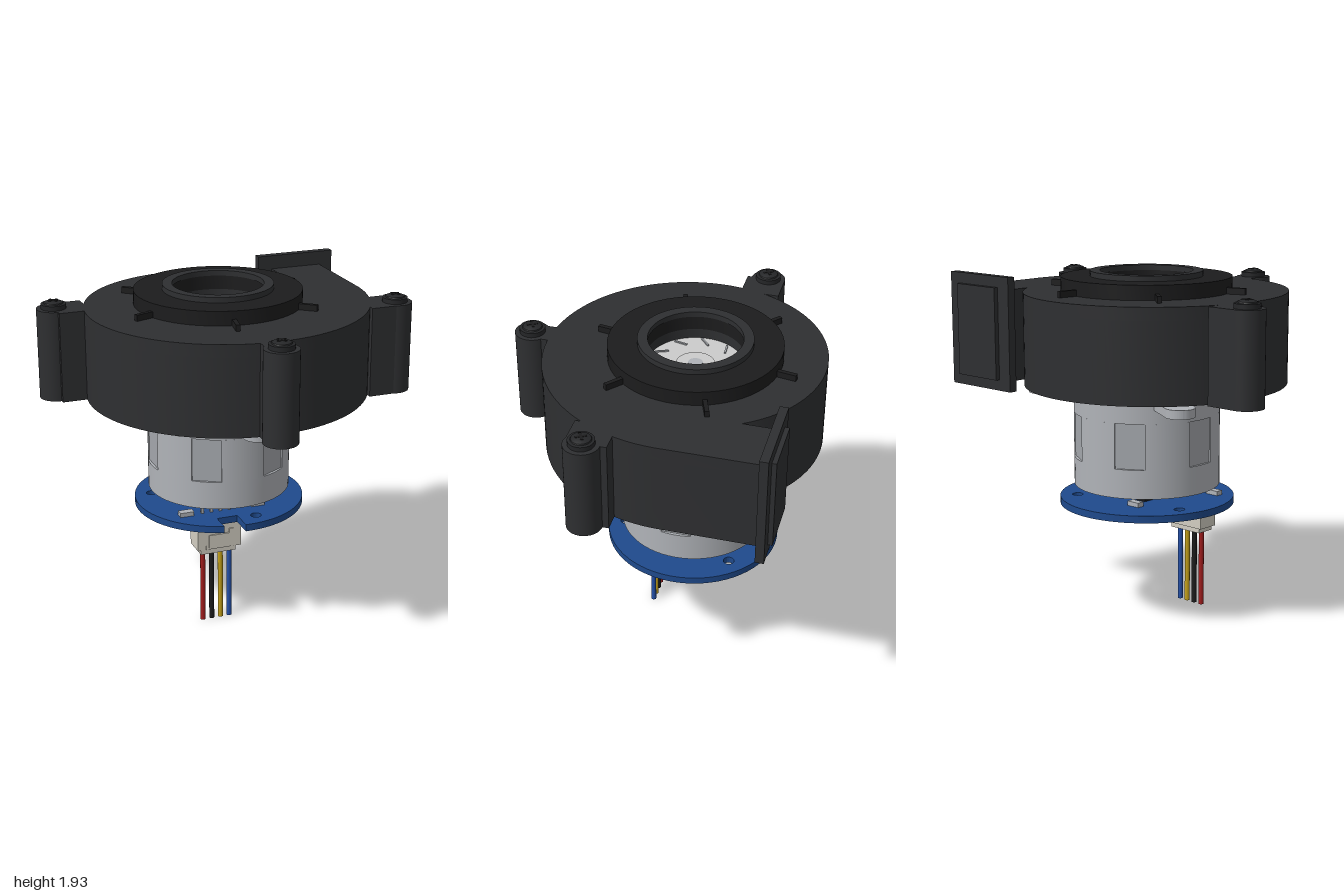
import * as THREE from 'three';
import { toCreasedNormals } from 'three/addons/utils/BufferGeometryUtils.js';

const CX = -0.02, CZ = -0.16; // shared axis of fan, motor and board
const paint = (color) => new THREE.MeshStandardMaterial({ color });
const housing = paint(0x2e2f31), inletBlack = paint(0x1c1c1d), screwDark = paint(0x252628);
const steel = paint(0xb0b3b8), windowSteel = paint(0xa4a7ac), spacerGrey = paint(0x55585c);
const boardBlue = paint(0x1f4a8c), beige = paint(0xd2cec2), chipBlack = paint(0x18181a);
const impellerGrey = paint(0xcccccc);

export function createModel() {
  const model = new THREE.Group();

  const add = (name, geo, mat, x = 0, y = 0, z = 0, ry = 0, parent = model) => {
    const mesh = new THREE.Mesh(geo, mat);
    mesh.name = name;
    mesh.position.set(x, y, z);
    mesh.rotation.y = ry;
    parent.add(mesh);
    return mesh;
  };
  // Box and cylinder between two heights
  const box = (name, mat, x0, x1, y0, y1, z0, z1) =>
    add(name, new THREE.BoxGeometry(x1 - x0, y1 - y0, z1 - z0), mat, (x0 + x1) / 2, (y0 + y1) / 2, (z0 + z1) / 2);
  const cyl = (name, mat, r, y0, y1, x = CX, z = CZ, sides = 64) =>
    add(name, new THREE.CylinderGeometry(r, r, y1 - y0, sides), mat, x, (y0 + y1) / 2, z);
  // Plan outline (x, -z) raised from y0 to y1
  const slab = (name, mat, shape, y0, y1, x = 0, z = 0, ry = 0) => {
    const geo = new THREE.ExtrudeGeometry(shape, { depth: y1 - y0, bevelEnabled: false, curveSegments: 32 });
    geo.rotateX(-Math.PI / 2);
    return add(name, toCreasedNormals(geo, 0.5), mat, x, y0, z, ry);
  };
  const circleHole = (x, y, r) => new THREE.Path().absarc(x, y, r, 0, Math.PI * 2, true);
  const ring = (r, hole) => {
    const s = new THREE.Shape().absarc(0, 0, r, 0, Math.PI * 2, false);
    s.holes.push(circleHole(0, 0, hole));
    return s;
  };

  // Spiral housing running into a straight outlet duct
  const voluteOutline = () => {
    const pts = [];
    for (let i = 0; i <= 96; i++) {
      const deg = 34.6 + (360 - 34.6) * i / 96, a = deg * Math.PI / 180;
      const r = 0.647 + 0.0533 * deg / 90;
      pts.push(new THREE.Vector2(CX + r * Math.cos(a), -CZ + r * Math.sin(a)));
    }
    pts.push(new THREE.Vector2(0.84, 0.73), new THREE.Vector2(0.53, 0.73));
    return new THREE.Shape(pts);
  };
  slab('voluteBody', housing, voluteOutline(), 1.31, 1.75);
  const lid = voluteOutline();
  lid.holes.push(circleHole(CX, -CZ, 0.26));
  slab('voluteLid', housing, lid, 1.75, 1.82);
  box('outletFlange', housing, 0.445, 0.92, 1.27, 1.9, -0.757, -0.71);
  box('outletLip', housing, 0.53, 0.84, 1.33, 1.84, -0.782, -0.75);

  // Inlet collar, raised rim and radial ribs
  slab('inletCollar', inletBlack, ring(0.47, 0.26), 1.82, 1.9, CX, CZ);
  slab('inletRim', housing, ring(0.31, 0.255), 1.9, 1.93, CX, CZ);
  for (let i = 0; i < 6; i++) {
    const a = (20 + i * 60) * Math.PI / 180;
    add('inletRib', new THREE.BoxGeometry(0.13, 0.035, 0.024), inletBlack,
      CX + 0.51 * Math.cos(a), 1.837, CZ - 0.51 * Math.sin(a), a);
  }

  // Impeller seen through the inlet
  cyl('impellerDisc', impellerGrey, 0.259, 1.745, 1.765);
  cyl('impellerHub', impellerGrey, 0.105, 1.76, 1.77);
  cyl('shaftTip', steel, 0.04, 1.765, 1.774, CX, CZ, 24);
  for (let i = 0; i < 10; i++) {
    const a = i / 10 * Math.PI * 2;
    add('impellerBlade', new THREE.BoxGeometry(0.075, 0.01, 0.01), windowSteel,
      CX + 0.215 * Math.cos(a), 1.767, CZ - 0.215 * Math.sin(a), a + 0.7);
  }

  // Three screw bosses: a round post and a web reaching the housing
  const bosses = [
    { x: -0.905, z: -0.365, web: [-0.905, -0.73, -0.46, -0.245] },
    { x: 0.9, z: 0.185, web: [0.72, 0.9, 0.055, 0.275] },
    { x: -0.02, z: 0.755, web: [-0.09, 0.047, 0.6, 0.755] },
  ];
  const headProfile = [[0, 0.045], [0.03, 0.043], [0.052, 0.034], [0.055, 0.028], [0.07, 0.026], [0.07, 0]]
    .reverse().map(([r, y]) => new THREE.Vector2(r, y));
  for (const { x, z, web } of bosses) {
    cyl('bossPost', housing, 0.096, 1.31, 1.82, x, z, 40);
    box('bossWeb', housing, web[0], web[1], 1.31, 1.82, web[2], web[3]);
    cyl('bossScrewTip', screwDark, 0.03, 1.305, 1.32, x, z, 20);
    add('screwHead', toCreasedNormals(new THREE.LatheGeometry(headProfile, 32), 0.6), screwDark, x, 1.82, z);
    for (const turn of [0.5, 0.5 + Math.PI / 2]) {
      add('screwSlot', new THREE.BoxGeometry(0.06, 0.006, 0.014), inletBlack, x, 1.863, z, turn);
    }
  }

  // Motor can: top and bottom bands, pillars, and flat recessed windows
  cyl('motorShaft', steel, 0.042, 1.26, 1.32, CX, CZ, 24);
  cyl('motorTopBand', steel, 0.406, 1.15, 1.275);
  cyl('motorBottomBand', steel, 0.406, 0.74, 0.9);
  cyl('motorCore', windowSteel, 0.37, 0.89, 1.16);
  const half = 12 * Math.PI / 180, step = Math.PI / 3;
  const pillar = new THREE.Shape();
  pillar.absarc(0, 0, 0.406, half, step - half, false);
  pillar.absarc(0, 0, 0.34, step - half, half, true);
  for (let i = 0; i < 6; i++) {
    const a = i * step;
    slab('motorPillar', steel, pillar, 0.9, 1.15, CX, CZ, a);
    add('motorWindow', new THREE.BoxGeometry(0.06, 0.25, 0.165), windowSteel,
      CX + 0.36 * Math.cos(a), 1.025, CZ - 0.36 * Math.sin(a), a);
  }

  // Three rounded mounting ears
  const ear = new THREE.Shape();
  ear.moveTo(0.3, -0.08);
  ear.lineTo(0.6, -0.08);
  ear.absarc(0.6, 0, 0.08, -Math.PI / 2, Math.PI / 2, false);
  ear.lineTo(0.3, 0.08);
  for (const deg of [30, 150, 270]) {
    slab('motorEar', steel, ear, 1.228, 1.277, CX, CZ, deg * Math.PI / 180);
  }

  // Round circuit board with an edge notch and three holes
  const board = new THREE.Shape();
  const R = 0.487, nL = -0.14, nR = -0.02, nD = -0.35;
  board.absarc(0, 0, R, -Math.acos(nR / R), -Math.acos(nL / R) + Math.PI * 2, false);
  board.lineTo(nL, nD);
  board.lineTo(nR, nD);
  for (const deg of [45, 160, 282]) {
    const a = deg * Math.PI / 180;
    board.holes.push(circleHole(0.39 * Math.cos(a), 0.39 * Math.sin(a), 0.03));
  }
  slab('circuitBoard', boardBlue, board, 0.63, 0.67, CX, CZ);
  cyl('motorSpacer', spacerGrey, 0.085, 0.66, 0.75, 0.11, -0.05, 40);

  // Small board components
  for (const [x, z] of [[-0.307, 0.085], [0.12, 0.085], [0.262, -0.16], [-0.16, -0.4]]) {
    box('boardComponent', steel, x - 0.04, x + 0.04, 0.665, 0.695, z - 0.022, z + 0.022);
  }
  box('boardChip', chipBlack, -0.14, -0.06, 0.665, 0.692, -0.305, -0.18);

  // Connector below the board
  box('connectorSocket', beige, -0.26, 0, 0.465, 0.632, 0.025, 0.148);
  box('connectorLatch', beige, -0.195, -0.065, 0.47, 0.555, 0.14, 0.157);
  for (const x of [-0.2, -0.06]) box('connectorRail', beige, x - 0.013, x + 0.013, 0.47, 0.58, 0.14, 0.154);
  box('connectorPlug', beige, -0.24, -0.03, 0.437, 0.47, 0.035, 0.142);

  // Four wires with their solder pins
  [0xa01c1c, 0x1c1c1c, 0xc4a01a, 0x2450a8].forEach((color, i) => {
    const x = -0.211 + i * 0.0535;
    cyl('wire', paint(color), 0.0145, 0, 0.44, x, 0.088, 16);
    box('connectorPin', steel, x - 0.008, x + 0.008, 0.63, 0.71, 0.08, 0.096);
  });

  return model;
}
